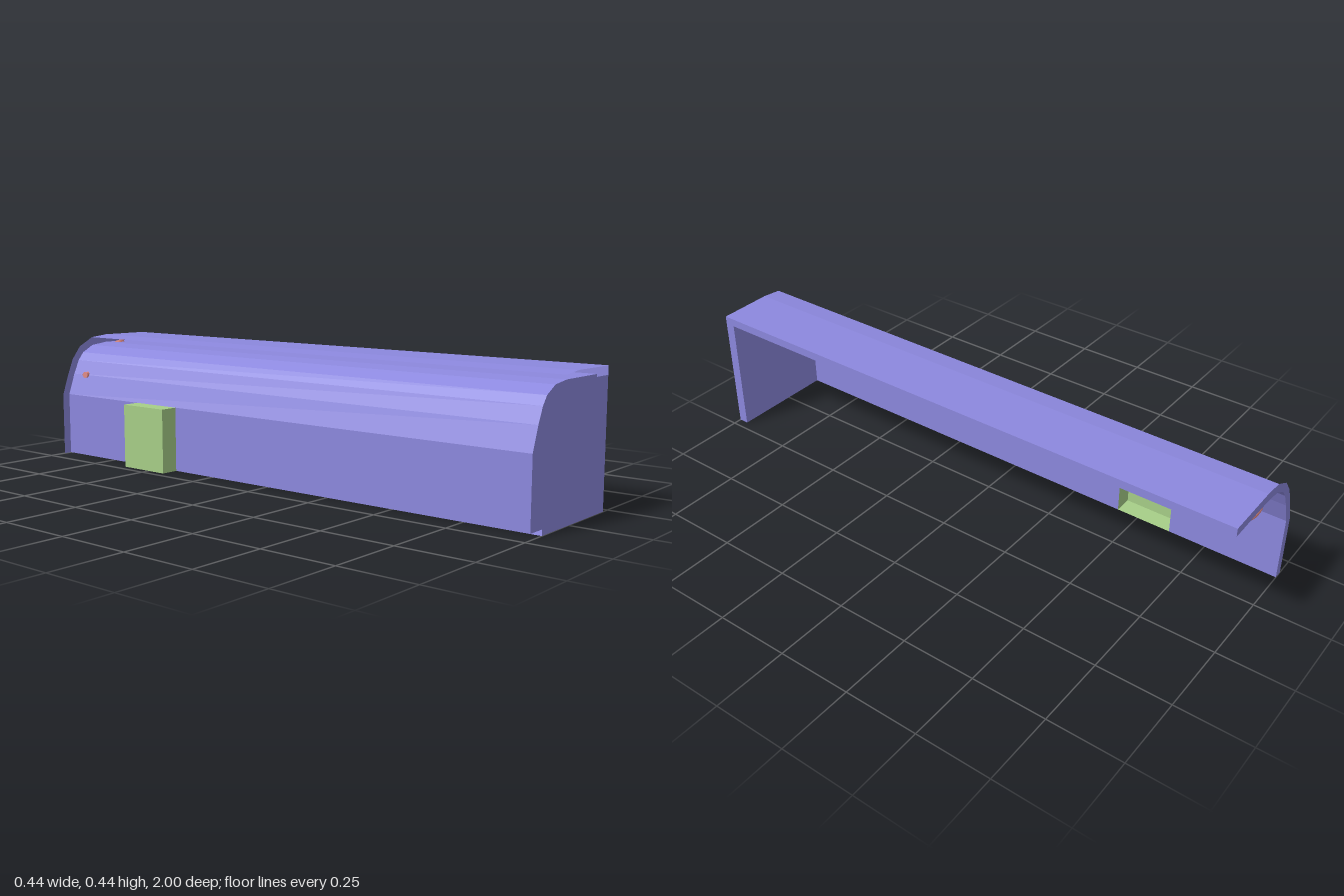
import * as THREE from 'three';

const mat = (color, flatShading = true) =>
  new THREE.MeshStandardMaterial({ color, flatShading, side: THREE.DoubleSide });

// Cross-section lines of the canopy, from the floor up and over to the open side
const INNER = [[-0.157, 0], [-0.157, 0.224], [-0.13, 0.3], [-0.107, 0.35],
  [-0.085, 0.378], [-0.038, 0.403], [0.03, 0.411], [0.22, 0.41]];
const OUTER = [[-0.186, 0], [-0.186, 0.224], [-0.163, 0.29], [-0.136, 0.356],
  [-0.1, 0.402], [-0.04, 0.433], [0.03, 0.44], [0.22, 0.438]];

// Sweep an open cross-section line straight along z, normals to the left of travel
function sheet(points, z0, z1) {
  const pos = [];
  for (let i = 0; i < points.length - 1; i++) {
    const [ax, ay] = points[i], [bx, by] = points[i + 1];
    pos.push(ax, ay, z0, ax, ay, z1, bx, by, z1, ax, ay, z0, bx, by, z1, bx, by, z0);
  }
  const g = new THREE.BufferGeometry();
  g.setAttribute('position', new THREE.Float32BufferAttribute(pos, 3));
  g.computeVertexNormals();
  return g;
}

// Flat panel cut to an outline
const plate = (points, z) =>
  new THREE.ShapeGeometry(new THREE.Shape(points.map(p => new THREE.Vector2(...p)))).translate(0, 0, z);

export function createModel() {
  const model = new THREE.Group();
  const shellMat = mat(0x8c88de), boxMat = mat(0xa7cf88), pipeMat = mat(0xe88f8a, false);
  const add = (name, geometry, material, parent = model) => {
    const mesh = new THREE.Mesh(geometry, material);
    mesh.name = name;
    parent.add(mesh);
    return mesh;
  };

  // Curved wall and ceiling; the low wall leaves an opening for the recess box
  const zEnd = 0.965, boxBack = -0.62, boxFront = -0.425;
  add('curvedCeiling', sheet(INNER.slice(1), -1, zEnd), shellMat);
  add('lowWallBack', sheet(INNER.slice(0, 2), -1, boxBack), shellMat);
  add('lowWallFront', sheet(INNER.slice(0, 2), boxFront, zEnd), shellMat);

  // Roof slab: raised top sheet and the strip along its open edge
  add('roofTop', sheet(OUTER.slice(5), -1, 1), shellMat);
  add('roofEdge', sheet([[0.22, 0.438], [0.22, 0.41]], -1, 1), shellMat);

  // Double end panel at the front, with side and floor strips between its faces
  const endOutline = [...INNER, [0.22, 0]];
  add('endPanelOuter', plate(endOutline, 1), shellMat);
  add('endPanelInner', plate(endOutline, zEnd), shellMat);
  add('endPanelEdges', sheet([[0.22, 0.41], [0.22, 0], [-0.157, 0]], zEnd, 1), shellMat);

  // Thin rim closing the back end of the shell
  add('backRim', plate([...OUTER, ...INNER.slice().reverse()], -1), shellMat);

  // Recess box, open toward the inside
  const recess = new THREE.Group();
  recess.name = 'recessBox';
  model.add(recess);
  const x0 = -0.22, x1 = -0.157, h = 0.224;
  add('recessWalls', sheet([[x1, 0], [x0, 0], [x0, h], [x1, h]], boxBack, boxFront), boxMat, recess);
  for (const z of [boxBack, boxFront])
    add('recessSide', plate([[x0, 0], [x1, 0], [x1, h], [x0, h]], z), boxMat, recess);

  // Wavering pipes under the ceiling, each with a bent back end
  const pipe = (name, radius, x, y, wave, phase, bend) => {
    const group = new THREE.Group();
    group.name = name;
    model.add(group);
    const pts = [];
    for (let i = 0; i <= 20; i++) {
      const z = 0.965 - i * 0.0905;
      pts.push(new THREE.Vector3(
        x + wave * Math.sin(z * 9 + phase * 2),
        y + wave * (Math.sin(z * 11 + phase) + 0.5 * Math.sin(z * 23)) * (0.4 + 0.6 * Math.abs(z)), z));
    }
    bend.forEach(p => pts.push(new THREE.Vector3(...p)));
    const curve = new THREE.CatmullRomCurve3(pts);
    add(name + 'Tube', new THREE.TubeGeometry(curve, 160, radius, 14), pipeMat, group);
    for (const t of [0, 1]) {
      const cap = add(name + 'Cap', new THREE.CircleGeometry(radius, 14), pipeMat, group);
      const dir = curve.getTangentAt(t).multiplyScalar(t ? 1 : -1);
      cap.quaternion.setFromUnitVectors(new THREE.Vector3(0, 0, 1), dir);
      cap.position.copy(curve.getPointAt(t));
    }
  };
  pipe('thickPipe', 0.02, 0.07, 0.345, 0.006, 4, [[0.07, 0.35, -0.92], [0.072, 0.375, -0.957], [0.072, 0.413, -0.972]]);
  pipe('thinPipe', 0.011, 0.03, 0.302, 0.004, 3.5,
    [[0.022, 0.301, -0.905], [-0.01, 0.301, -0.938], [-0.06, 0.301, -0.943], [-0.1, 0.301, -0.933], [-0.143, 0.301, -0.922]]);

  return model;
}
